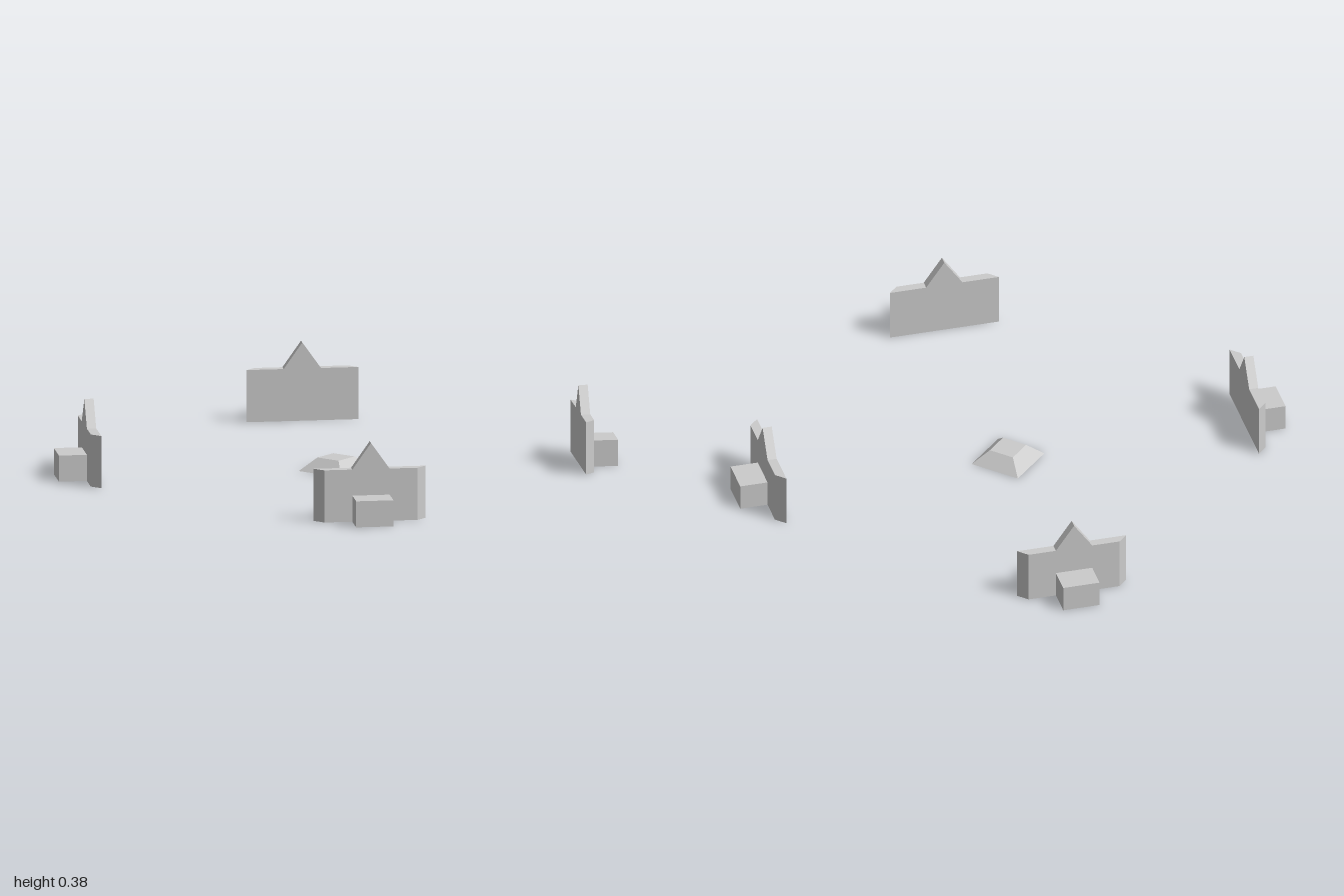
import * as THREE from 'three';

const D = Math.SQRT2; // the corner pieces are set on the diagonals
const material = new THREE.MeshStandardMaterial({ color: 0xcccccc, flatShading: true });

// Distances from the centre along a diagonal, and heights
const wallInner = 1.625 / D, wallOuter = 1.6875 / D, blockOuter = 1.875 / D;
const wallHeight = 0.25, peakHeight = 0.375, blockHeight = 0.125;

// Wall with a pointed gable; its ends are mitred at 45 degrees
function wallGeometry() {
  const half = 0.1875 * D, gable = 0.0625 * D, depth = wallOuter - wallInner;
  const outline = [
    [-half, 0], [half, 0], [half, wallHeight], [gable, wallHeight],
    [0, peakHeight], [-gable, wallHeight], [-half, wallHeight],
  ].map(([x, y]) => new THREE.Vector2(x, y));
  const geo = new THREE.ExtrudeGeometry(new THREE.Shape(outline), { depth, bevelEnabled: false });
  const pos = geo.attributes.position;
  for (let i = 0; i < pos.count; i++) {
    const x = pos.getX(i);
    if (Math.abs(x) > gable * 1.5) pos.setX(i, x - Math.sign(x) * pos.getZ(i));
  }
  geo.translate(0, 0, wallInner);
  geo.computeVertexNormals();
  return geo;
}

// Low block standing against the outer face of the wall
function blockGeometry() {
  const depth = blockOuter - wallOuter;
  return new THREE.BoxGeometry(0.125 * D, blockHeight, depth)
    .translate(0, blockHeight / 2, wallOuter + depth / 2);
}

export function createModel() {
  const model = new THREE.Group();
  const add = (parent, name, geometry) => {
    const mesh = new THREE.Mesh(geometry, material);
    mesh.name = name;
    parent.add(mesh);
  };

  // Four identical corner pieces
  const wall = wallGeometry(), block = blockGeometry();
  ['frontLeft', 'backLeft', 'backRight', 'frontRight'].forEach((place, i) => {
    const corner = new THREE.Group();
    corner.name = place + 'Corner';
    corner.rotation.y = Math.PI / 4 + i * Math.PI / 2;
    add(corner, 'gabledWall', wall);
    add(corner, 'outerBlock', block);
    model.add(corner);
  });

  // Truncated pyramid in the centre
  const height = 0.0625;
  add(model, 'centrePlinth', new THREE.CylinderGeometry(0.0625 * D, 0.125 * D, height, 4)
    .rotateY(Math.PI / 4).translate(0, height / 2, 0));

  return model;
}
